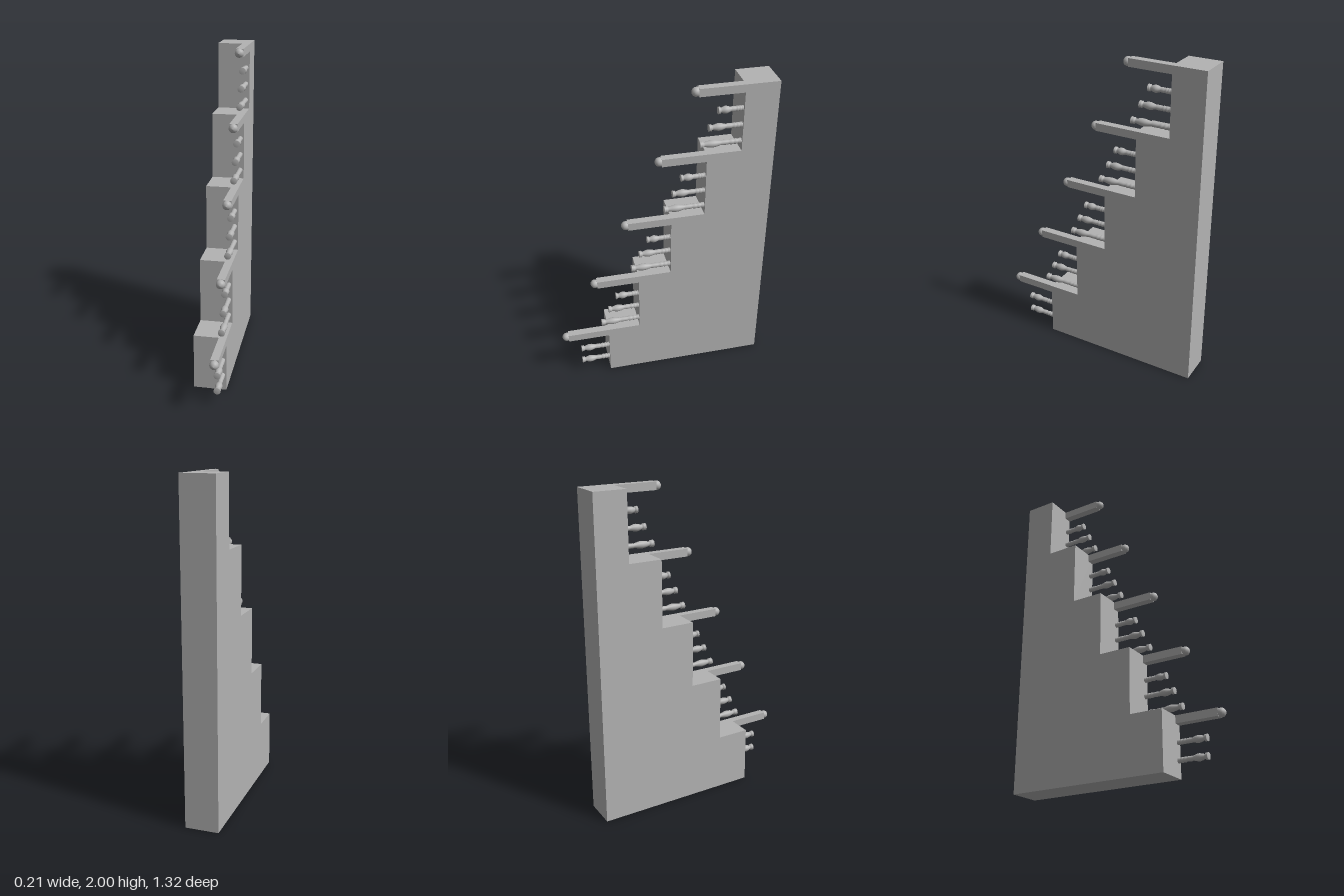
import * as THREE from 'three';

export function createModel() {
  const model = new THREE.Group();
  const grey = new THREE.MeshStandardMaterial({ color: 0xb3b3b3 });
  grey.name = 'plain grey';

  function add(parent, name, geometry, x, y, z) {
    const mesh = new THREE.Mesh(geometry, grey);
    mesh.name = name;
    mesh.position.set(x, y, z);
    parent.add(mesh);
    return mesh;
  }

  // Lathe turned to run along +z, starting at z = 0
  function turned(points, length) {
    const profile = points.map(([r, t]) => new THREE.Vector2(r, t * length));
    return new THREE.LatheGeometry(profile, 20).rotateX(Math.PI / 2);
  }

  // Baluster profile: radius, fraction of length from step to tip
  const baluster = [
    [0.016, 0], [0.016, 0.06], [0.013, 0.08], [0.016, 0.11], [0.016, 0.16], [0.013, 0.18],
    [0.016, 0.21], [0.016, 0.26], [0.013, 0.29], [0.015, 0.33], [0.015, 0.46], [0.013, 0.49],
    [0.017, 0.56], [0.021, 0.64], [0.022, 0.71], [0.019, 0.79], [0.014, 0.87], [0.014, 0.9],
    [0.021, 0.92], [0.018, 0.95], [0.021, 0.98], [0.021, 1], [0, 1],
  ];
  // Rail knob: collar, rounded body and pointed tip
  const knob = [
    [0, 0], [0.022, 0], [0.022, 0.1], [0.026, 0.2], [0.027, 0.4], [0.026, 0.6],
    [0.021, 0.78], [0.012, 0.92], [0, 1],
  ];

  const rise = 0.411, run = 0.205, back = -0.66;
  const railX = 0.074, railThickness = 0.048;

  for (let i = 0; i < 5; i++) {
    const step = new THREE.Group();
    step.name = `step${i + 1}`;
    model.add(step);

    const top = 0.356 + i * rise;
    const bottom = i === 0 ? 0 : top - rise;
    const front = 0.36 - i * run;

    // Solid block reaching to the back
    add(step, 'stepBlock', new THREE.BoxGeometry(0.203, top - bottom, front - back),
      -0.0035, (top + bottom) / 2, (front + back) / 2);

    // Projecting rail, flush with the block's top and side
    add(step, 'rail', new THREE.BoxGeometry(railThickness, railThickness, 0.262),
      railX, top - railThickness / 2, front + 0.131);
    add(step, 'railKnob', turned(knob, 0.048), railX, top - 0.025, front + 0.254);

    // Balusters, shorter towards the top; the lowest step has two
    const lengths = i === 0 ? [0.185, 0.185] : [0.247, 0.197, 0.147];
    lengths.forEach((length, k) => {
      const y = top - 0.151 - (lengths.length - 1 - k) * 0.103;
      add(step, 'baluster', turned(baluster, length), railX, y, front);
    });
  }

  return model;
}
